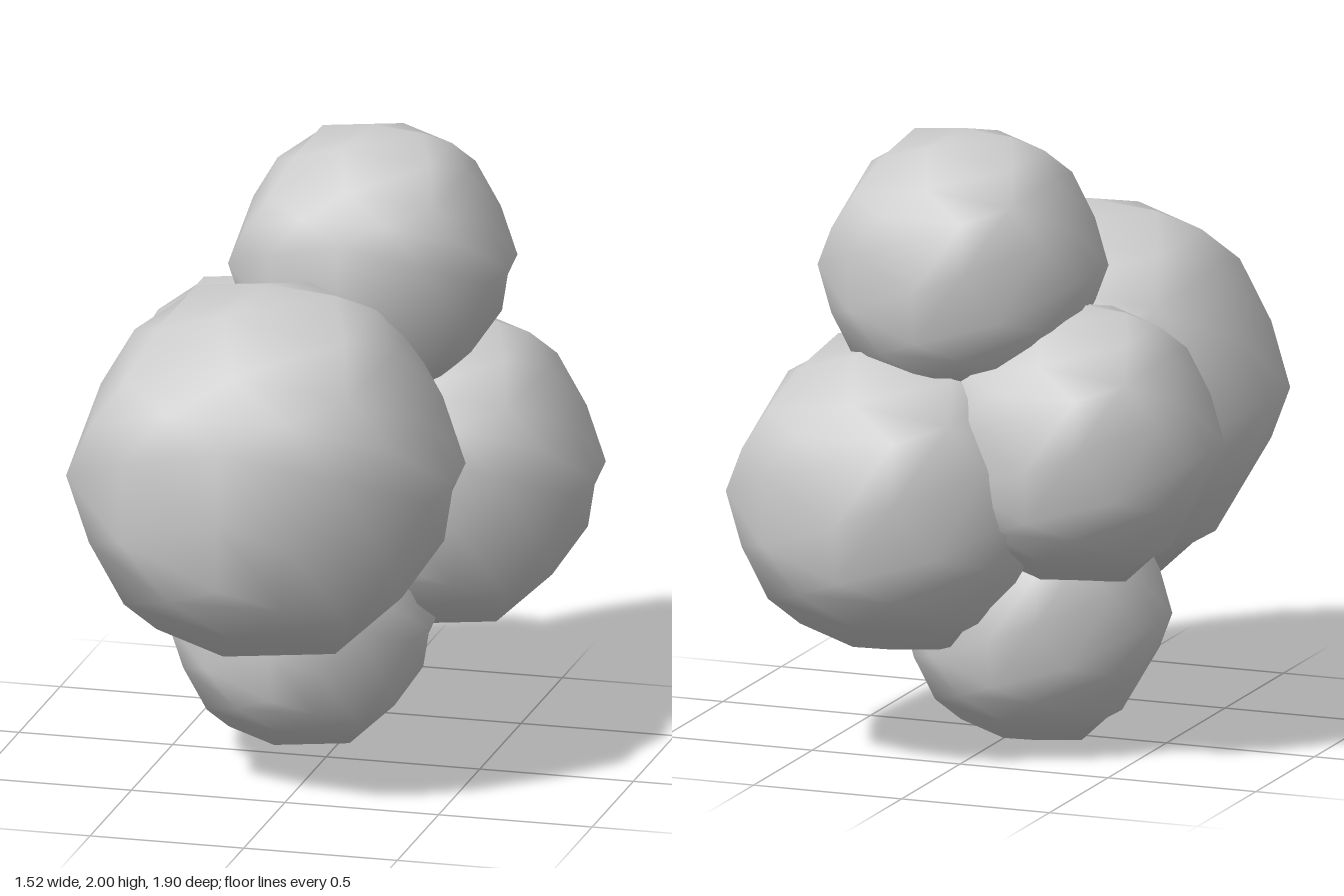
import * as THREE from 'three';
import { mergeVertices } from 'three/addons/utils/BufferGeometryUtils.js';

// Dodecahedron, subdivided once and half-way inflated towards a sphere.
// Scaled so that it reaches 1 unit along each axis.
function createBlobGeometry() {
  let geo = new THREE.DodecahedronGeometry(1, 1);
  geo.deleteAttribute('uv');
  geo.deleteAttribute('normal');
  geo = mergeVertices(geo, 1e-3);

  const corners = [];
  const base = new THREE.DodecahedronGeometry(1, 0).attributes.position;
  for (let i = 0; i < base.count; i++) corners.push(new THREE.Vector3().fromBufferAttribute(base, i));

  const pos = geo.attributes.position;
  const p = new THREE.Vector3();
  for (let i = 0; i < pos.count; i++) {
    p.fromBufferAttribute(pos, i).normalize();
    // the nearest corner's cosine is the radius on the flat-faced solid
    const flat = Math.max(...corners.map((c) => c.dot(p)));
    p.multiplyScalar(1.035 * (0.5 + 0.5 * flat));
    pos.setXYZ(i, p.x, p.y, p.z);
  }
  geo.computeVertexNormals();
  return geo;
}

export function createModel() {
  const group = new THREE.Group();
  group.name = 'blobCluster';
  const material = new THREE.MeshStandardMaterial({ color: 0xcccccc });
  const geometry = createBlobGeometry();

  // name, centre, radius
  const blobs = [
    ['frontBlob', [-0.105, 1.04, 0.34], 0.61],
    ['topBlob', [0.075, 1.56, -0.285], 0.442],
    ['leftBlob', [0.248, 0.845, -0.435], 0.512],
    ['rightBlob', [-0.31, 1.02, -0.29], 0.45],
    ['bottomBlob', [-0.107, 0.412, -0.115], 0.412],
  ];
  for (const [name, centre, radius] of blobs) {
    const mesh = new THREE.Mesh(geometry, material);
    mesh.name = name;
    mesh.position.set(...centre);
    mesh.scale.setScalar(radius);
    group.add(mesh);
  }
  return group;
}
